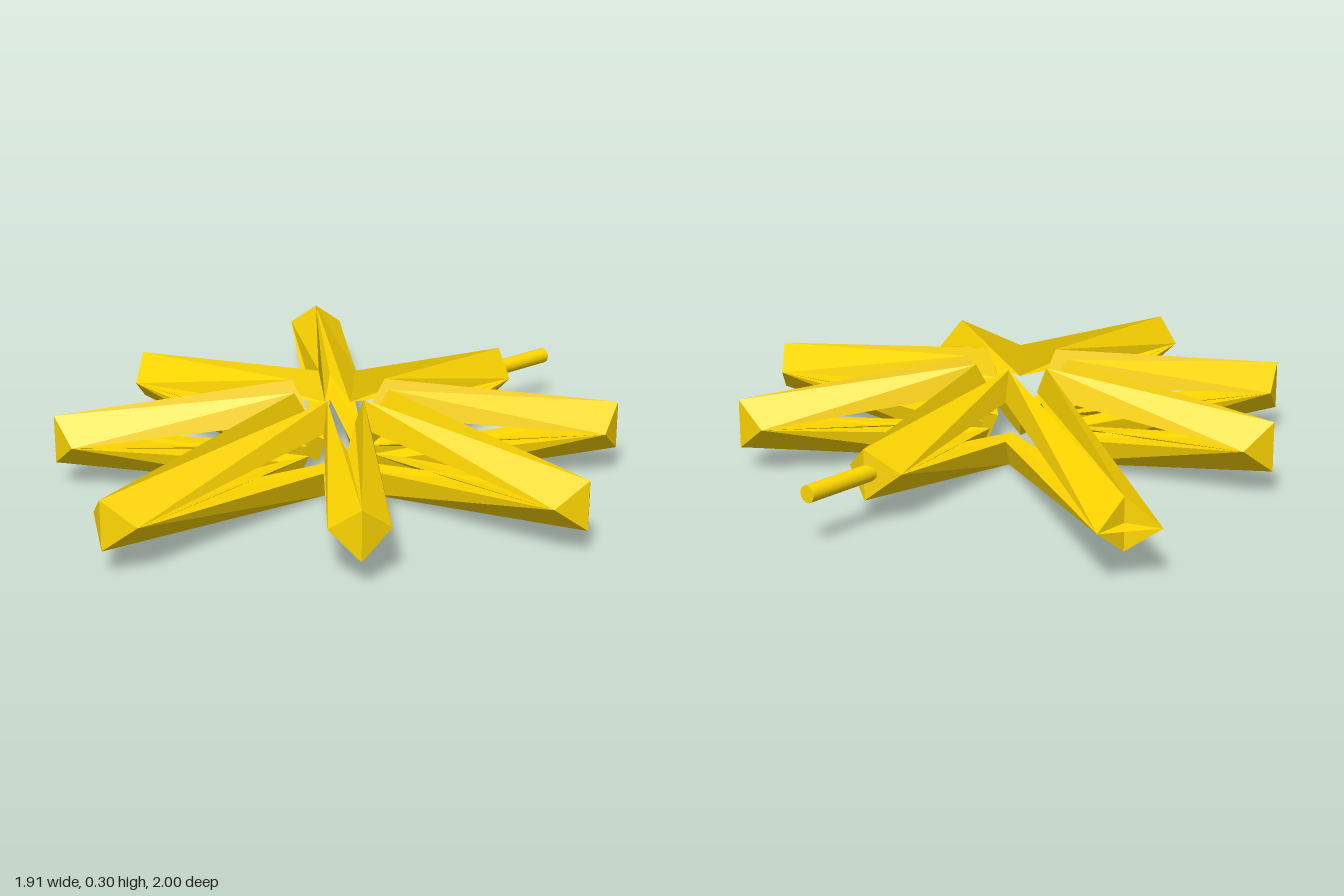
import * as THREE from 'three';

const MID = 0.15;                                // height of the middle plane
const CENTRE = new THREE.Vector2(0.05, 0.03);    // star centre in (x, z)
const TIPS = [[-0.07, -0.78], [0.56, -0.67], [0.955, -0.11], [0.71, 0.51],
  [0.2, 1.0], [-0.455, 0.73], [-0.805, 0.16], [-0.95, -0.705]];
const VALLEYS = [[0, -0.06], [0.08, -0.07], [0.14, -0.03], [0.15, 0.05],
  [0.11, 0.11], [0.03, 0.13], [-0.04, 0.08], [-0.05, 0]];
const HALF_WIDTH = 0.088, TIP_DEPTH = 0.055;

const at = (v, y) => [v.x, y, v.y];

// Three-sided valley section where the legs of neighbouring arms meet
function valleySection(index, level) {
  const inner = new THREE.Vector2(...VALLEYS[index % 8]);
  const out = inner.clone().sub(CENTRE).normalize();
  const along = (d) => inner.clone().addScaledVector(out, d);
  const low = MID + level * 0.062;
  return [at(along(0.1), low), at(along(0.05), MID + level * 0.15), at(inner, low)];
}

// One arm: four tapering three-sided legs and a creased end
function armGeometry(i) {
  const tip = new THREE.Vector2(...TIPS[i]);
  const u = tip.clone().sub(CENTRE).normalize();
  const p = new THREE.Vector2(-u.y, u.x);
  const notched = i === 7;                       // this arm ends in a notch
  const mid = notched ? new THREE.Vector2(-0.905, -0.67)
    : tip.clone().addScaledVector(u, -TIP_DEPTH);
  const ridge = mid.clone().addScaledVector(u, notched ? -TIP_DEPTH : TIP_DEPTH);
  const side = (s) => at(mid.clone().addScaledVector(p, s * HALF_WIDTH), MID);
  const pos = [];
  const tri = (a, b, c, flip) => pos.push(...a, ...(flip ? c : b), ...(flip ? b : c));

  for (const level of [1, -1]) {
    const top = at(ridge, MID + level * 0.075);
    for (const s of [1, -1]) {
      const flip = s * level < 0;
      const a = [side(s), top, side(-s)];
      const b = valleySection(s > 0 ? i + 1 : i, level);
      for (let k = 0; k < 3; k++) {
        const n = (k + 1) % 3;
        tri(a[k], a[n], b[n], flip);
        tri(a[k], b[n], b[k], flip);
      }
    }
    // end faces
    const m = at(ridge, MID);
    tri(side(1), m, top, level < 0);
    tri(top, m, side(-1), level < 0);
  }
  const g = new THREE.BufferGeometry();
  g.setAttribute('position', new THREE.Float32BufferAttribute(pos, 3));
  g.computeVertexNormals();
  return g;
}

export function createModel() {
  const group = new THREE.Group();
  group.name = 'starOrnament';
  const gold = new THREE.MeshStandardMaterial({
    color: 0xffd700, flatShading: true, side: THREE.DoubleSide });

  TIPS.forEach((_, i) => {
    const arm = new THREE.Mesh(armGeometry(i), gold);
    arm.name = `starArm${i + 1}`;
    group.add(arm);
  });

  // Round mounting peg behind the rear arm
  const peg = new THREE.Mesh(new THREE.CylinderGeometry(0.025, 0.025, 0.27, 16),
    new THREE.MeshStandardMaterial({ color: 0xffd700 }));
  peg.name = 'mountingPeg';
  peg.rotation.x = Math.PI / 2;
  peg.position.set(-0.073, 0.153, -0.865);
  group.add(peg);
  return group;
}
